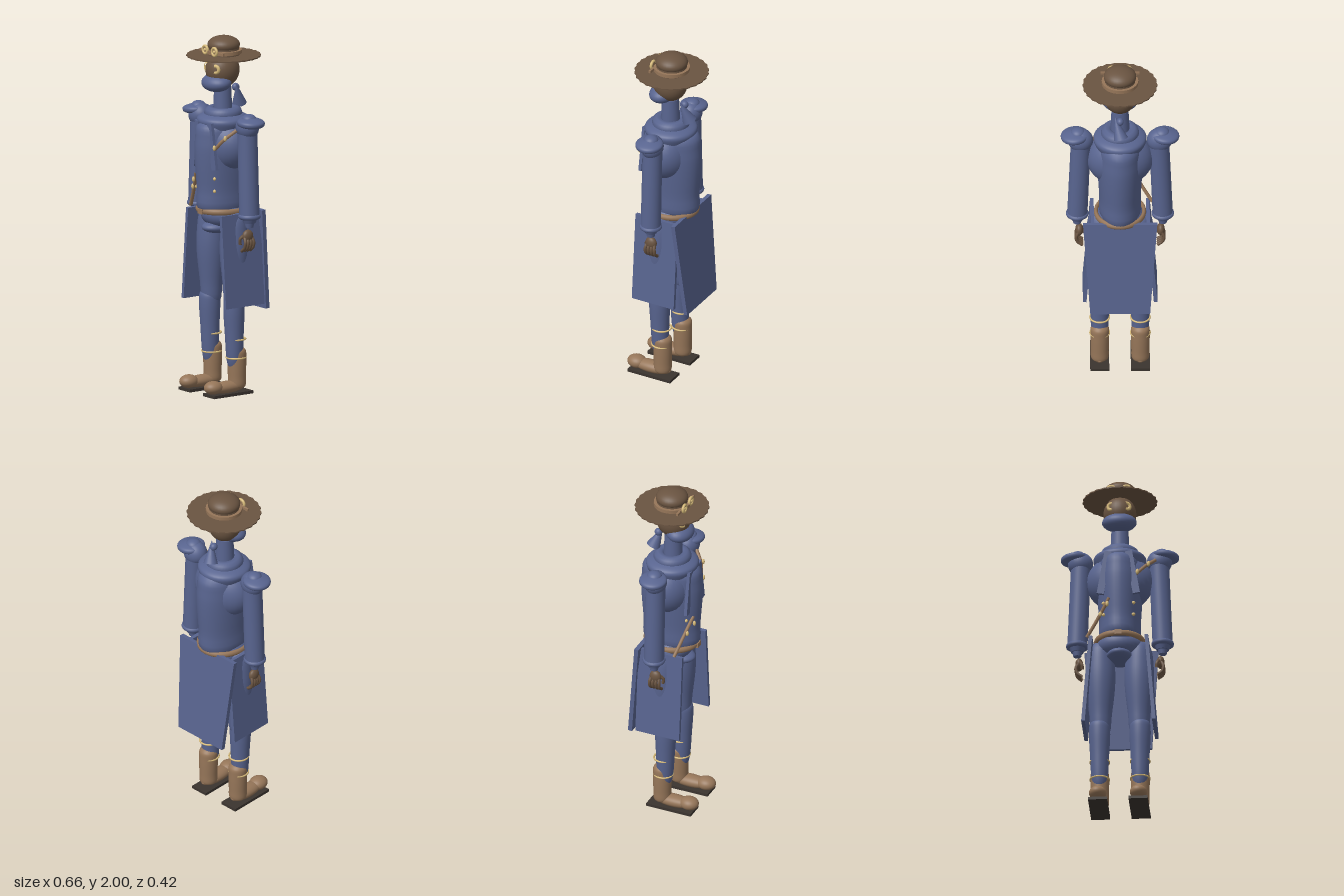
import * as THREE from 'three';

const mat = (name, color) => Object.assign(new THREE.MeshStandardMaterial({ color }), { name });
const V = (x, y, z) => new THREE.Vector3(x, y, z);

export function createModel() {
  const root = new THREE.Group();
  const blue = mat('blue cloth', 0x58648f);
  const tan = mat('tan leather', 0x967659);
  const dark = mat('dark brown', 0x6a5441);
  const gold = mat('brass', 0xd6ba7a);
  const sole = mat('sole rubber', 0x3b342f);

  const add = (name, geo, m, x = 0, y = 0, z = 0, parent = root) => {
    const mesh = new THREE.Mesh(geo, m);
    mesh.name = name;
    mesh.position.set(x, y, z);
    parent.add(mesh);
    return mesh;
  };
  const ball = (rx, ry, rz) => new THREE.SphereGeometry(1, 32, 20).scale(rx, ry, rz);
  const ring = (R, t) => new THREE.TorusGeometry(R, t, 10, 40).rotateX(Math.PI / 2);
  const tube = (pts, r) => new THREE.TubeGeometry(new THREE.CatmullRomCurve3(pts.map(p => V(...p))), 16, r, 8);
  // profile runs from bottom to top as [radius, y]
  const lathe = pts => new THREE.LatheGeometry(
    new THREE.SplineCurve(pts.map(p => new THREE.Vector2(...p))).getPoints(24), 36);

  // Hat: wavy brim, crown and band
  const brimGeo = new THREE.CylinderGeometry(0.204, 0.204, 0.007, 144);
  const p = brimGeo.attributes.position;
  for (let i = 0; i < p.count; i++) {
    const k = 1 + 0.014 * Math.cos(26 * Math.atan2(p.getZ(i), p.getX(i)));
    p.setXYZ(i, p.getX(i) * k, p.getY(i), p.getZ(i) * k);
  }
  add('hatBrim', brimGeo, dark, 0, 1.89, -0.003);
  add('hatCrown', ball(0.09, 0.05, 0.09), dark, 0, 1.95, -0.003);
  add('hatCrownBase', new THREE.CylinderGeometry(0.083, 0.088, 0.05, 32), dark, 0, 1.917, -0.003);
  add('hatBand', new THREE.CylinderGeometry(0.101, 0.101, 0.02, 40), tan, 0, 1.913, -0.003);

  // Head, face wrap and neck
  add('head', ball(0.091, 0.1, 0.096), dark, 0, 1.81, 0.005);
  add('faceWrap', ball(0.096, 0.051, 0.076), blue, 0, 1.742, 0.047).rotation.x = 0.12;
  add('neck', new THREE.CylinderGeometry(0.047, 0.053, 0.14, 28), blue, 0, 1.65, 0.004);
  const tail = add('wrapTail', new THREE.ConeGeometry(0.04, 0.13, 20), blue, 0.012, 1.665, -0.092);
  tail.rotation.set(0.35, 0, -0.25);
  add('wrapKnot', ball(0.02, 0.022, 0.022), blue, 0, 1.7, -0.085);

  // Torso, chest and collar
  add('torso', lathe([[0, 1.02], [0.152, 1.03], [0.164, 1.15], [0.177, 1.32], [0.175, 1.43], [0.15, 1.52], [0, 1.56]])
    .scale(0.7, 1, 1), blue, 0, 0, -0.003);
  add('chest', ball(0.185, 0.165, 0.135), blue, 0, 1.395, 0);
  add('yoke', lathe([[0.135, 1.49], [0.147, 1.53], [0.125, 1.555], [0.05, 1.58]]), blue);
  add('collar', ring(0.072, 0.034).scale(1, 1.05, 1), blue, 0, 1.567, 0);
  add('pelvis', ball(0.135, 0.085, 0.12), blue, 0, 1.0, 0);
  add('crotch', ball(0.075, 0.036, 0.105), blue, 0, 0.93, 0.03);
  add('belt', ring(1, 0.085).scale(0.133, 0.2, 0.148), tan, 0, 1.03, -0.002);
  add('buckle', new THREE.BoxGeometry(0.04, 0.028, 0.012), tan, 0, 1.028, 0.157);

  // Shoulder strap seen above and below the coat front
  add('upperStrap', tube([[0.09, 1.385, 0.13], [0.15, 1.45, 0.105], [0.198, 1.505, 0.055]], 0.01), tan);
  add('lowerStrap', tube([[-0.178, 1.03, 0.09], [-0.12, 1.12, 0.115], [-0.05, 1.24, 0.15]], 0.01), tan);
  const studs = [[0.105, 1.4, 0.14], [0.165, 1.46, 0.11], [-0.06, 1.2, 0.16], [-0.1, 1.15, 0.135]];
  for (const s of studs) add('strapStud', ball(0.009, 0.016, 0.009), gold, ...s);

  // Back coat panel, a trapezoid leaning outwards
  const back = new THREE.Shape([[-0.165, -0.57], [0.165, -0.57], [0.205, 0], [-0.205, 0]].map(q => new THREE.Vector2(...q)));
  add('backCoatPanel', new THREE.ExtrudeGeometry(back, { depth: 0.024, bevelEnabled: false }), blue, 0, 1.035, -0.138)
    .rotation.x = 0.1;

  for (const s of [1, -1]) {
    const side = s > 0 ? 'left' : 'right';
    const g = new THREE.Group();
    g.name = side + 'Side';
    root.add(g);
    const put = (name, geo, m, x, y, z) => add(side + name, geo, m, s * x, y, z, g);
    const mirror = pts => pts.map(q => [s * q[0], q[1], q[2]]);

    // Eye crescent and hat goggle
    put('Eye', new THREE.TorusGeometry(0.018, 0.01, 8, 20, Math.PI * 1.25), gold, 0.043, 1.825, 0.083)
      .rotation.set(0, s * 0.4, s > 0 ? -2 : 1.2);
    put('GoggleRim', new THREE.TorusGeometry(0.021, 0.008, 10, 28), gold, 0.042, 1.925, 0.092);
    put('GoggleLens', new THREE.CylinderGeometry(0.018, 0.018, 0.008, 24).rotateX(Math.PI / 2), tan, 0.042, 1.925, 0.09);
    put('GoggleHub', ball(0.009, 0.009, 0.007), gold, 0.042, 1.925, 0.094);
    put('GoggleStrap', new THREE.BoxGeometry(0.05, 0.014, 0.012), tan, 0.082, 1.915, 0.077);

    // Lapel and buttons
    put('Lapel', new THREE.BoxGeometry(0.04, 0.26, 0.018), blue, 0.078, 1.4, 0.132).rotation.z = s * 0.17;
    for (const y of [1.22, 1.15]) put('Button', ball(0.01, 0.01, 0.008), gold, 0.083, y, 0.122);

    // Shoulder, sleeve and cuff
    put('Shoulder', ball(0.07, 0.068, 0.062), blue, 0.218, 1.518, -0.003);
    const cap = put('ShoulderCap', lathe([[0, -0.022], [0.06, -0.018], [0.077, -0.002], [0.066, 0.018], [0, 0.036]]),
      blue, 0.25, 1.546, -0.003);
    cap.rotation.z = -s * 0.08;
    put('ShoulderKnob', ball(0.042, 0.03, 0.042), blue, 0.232, 1.565, -0.003);
    put('Sleeve', new THREE.CylinderGeometry(0.055, 0.056, 0.52, 32), blue, 0.225, 1.285, -0.004).rotation.z = s * 0.04;
    put('Cuff', ring(0.048, 0.015), blue, 0.236, 1.02, -0.004);
    put('CuffLower', new THREE.CylinderGeometry(0.046, 0.034, 0.03, 28), blue, 0.236, 0.998, -0.004);
    put('Wrist', new THREE.CylinderGeometry(0.028, 0.022, 0.03, 24), blue, 0.236, 0.973, -0.004);

    // Hand with curled fingers and a thumb
    put('Palm', ball(0.022, 0.036, 0.034), dark, 0.225, 0.907, 0);
    for (let i = 0; i < 4; i++) {
      const z = -0.029 + i * 0.019;
      put('Finger', tube(mirror([[0.228, 0.905, z * 0.8], [0.242, 0.873, z], [0.234, 0.843, z], [0.207, 0.822, z]]), 0.009),
        dark, 0, 0, 0);
    }
    put('Thumb', tube(mirror([[0.222, 0.915, 0.02], [0.208, 0.89, 0.04], [0.205, 0.86, 0.036]]), 0.009), dark, 0, 0, 0);

    // Side coat panel
    put('SideCoatPanel', new THREE.BoxGeometry(0.02, 0.518, 0.265), blue, 0.175, 0.763, 0.001).rotation.z = s * 0.08;

    // Leg
    put('Thigh', lathe([[0, 0.48], [0.05, 0.49], [0.063, 0.6], [0.08, 0.76], [0.08, 0.88], [0.062, 1.0], [0, 1.04]]),
      blue, 0.107, 0, 0.003);
    put('Calf', lathe([[0.03, 0.14], [0.045, 0.2], [0.053, 0.35], [0.059, 0.48], [0.05, 0.54], [0, 0.56]]), blue, 0.112, 0, 0.003)
      .rotation.x = 0.015;
    for (const y of [0.31, 0.205]) put('LegStrap', ring(0.053, 0.005), gold, 0.112, y, -0.003);

    // Boot and sole
    put('BootShaft', lathe([[0, 0.03], [0.045, 0.04], [0.05, 0.1], [0.052, 0.2], [0.046, 0.25], [0, 0.275]]),
      tan, 0.112, 0, -0.01);
    put('BootFoot', ball(0.045, 0.034, 0.12), tan, 0.112, 0.045, 0.06);
    put('BootToe', ball(0.048, 0.037, 0.055), tan, 0.113, 0.052, 0.153);
    put('Sole', new THREE.BoxGeometry(0.105, 0.016, 0.27), sole, 0.112, 0.008, 0.05);
  }
  return root;
}
